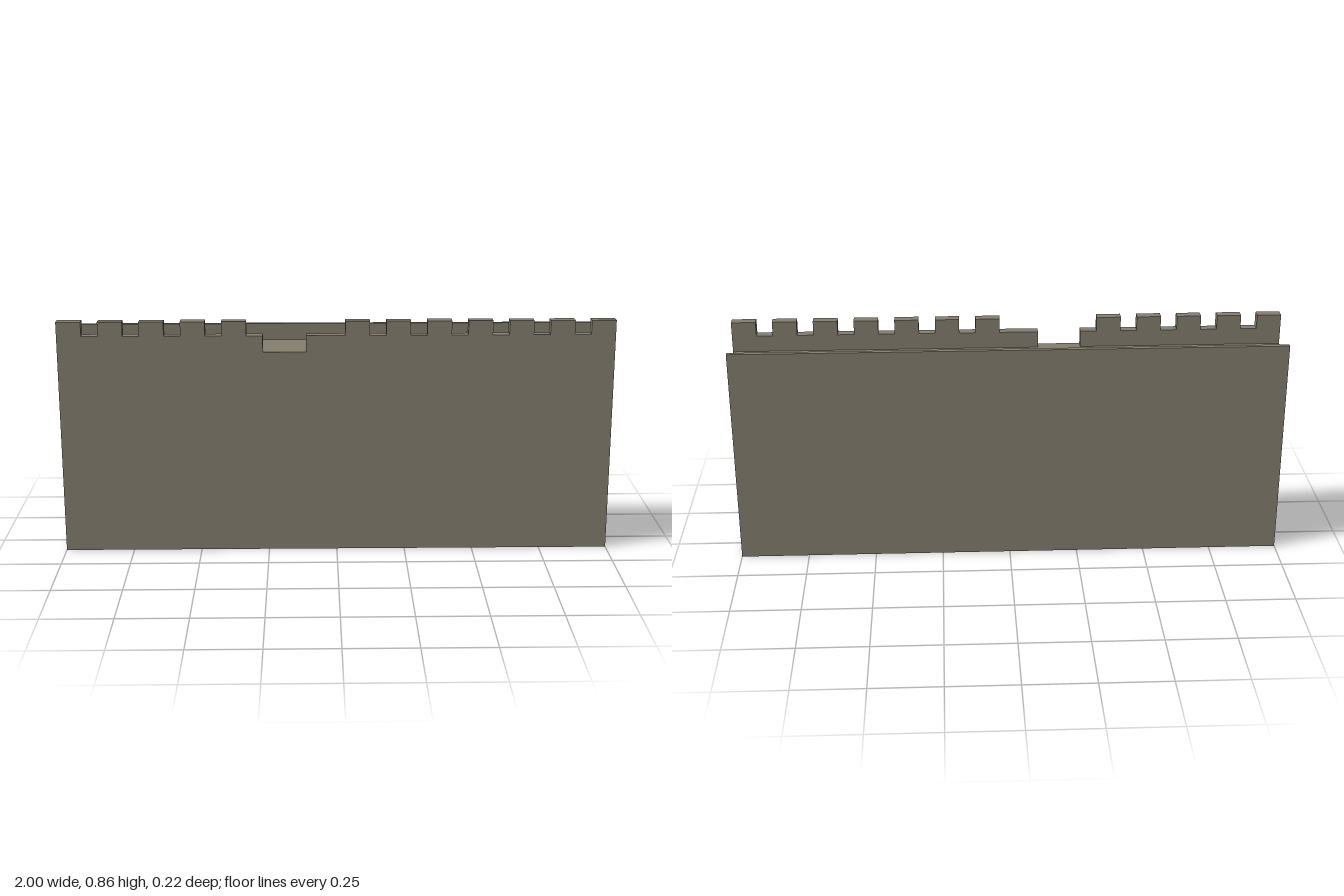
import * as THREE from 'three';

const DECK = 0.75, SILL = 0.81, TOP = 0.862, HALF = 0.108;
const PITCH = 0.147, MERLON = 0.088;

// Battlement outline from x0 to x1, with merlons starting at the given x positions
function battlementShape(x0, x1, starts) {
  const s = new THREE.Shape();
  s.moveTo(x0, DECK);
  s.lineTo(x0, SILL);
  for (const x of starts) {
    s.lineTo(x, SILL);
    s.lineTo(x, TOP);
    s.lineTo(x + MERLON, TOP);
    s.lineTo(x + MERLON, SILL);
  }
  s.lineTo(x1, SILL);
  s.lineTo(x1, DECK);
  s.closePath();
  return s;
}

export function createModel() {
  const group = new THREE.Group();
  const stone = new THREE.MeshStandardMaterial({ color: 0x827d6d, side: THREE.DoubleSide });
  stone.name = 'stone';

  const add = (name, geometry, x, y, z) => {
    const mesh = new THREE.Mesh(geometry, stone);
    mesh.name = name;
    mesh.position.set(x, y, z);
    group.add(mesh);
  };

  // Wall body with its walkway on top, open underneath
  const body = new THREE.BoxGeometry(2, DECK, HALF * 2);
  const index = Array.from(body.index.array);
  index.splice(18, 6);
  body.setIndex(index);
  body.clearGroups();
  add('wallBody', body, 0, DECK / 2, 0);

  // Front battlements, either side of the opening
  const depth = 0.036;
  const leftOf = Array.from({ length: 5 }, (_, i) => -1 + PITCH * i);
  const rightOf = Array.from({ length: 7 }, (_, i) => 1 - MERLON - PITCH * (6 - i));
  const options = { depth, bevelEnabled: false };
  add('rightBattlement', new THREE.ExtrudeGeometry(battlementShape(-1, -0.265, leftOf), options), 0, 0, HALF - depth);
  add('leftBattlement', new THREE.ExtrudeGeometry(battlementShape(-0.11, 1, rightOf), options), 0, 0, HALF - depth);

  // Low plain parapet along the back
  const thin = 0.017;
  add('backParapet', new THREE.BoxGeometry(2, SILL - DECK, thin), 0, (SILL + DECK) / 2, -HALF + thin / 2);

  return group;
}
